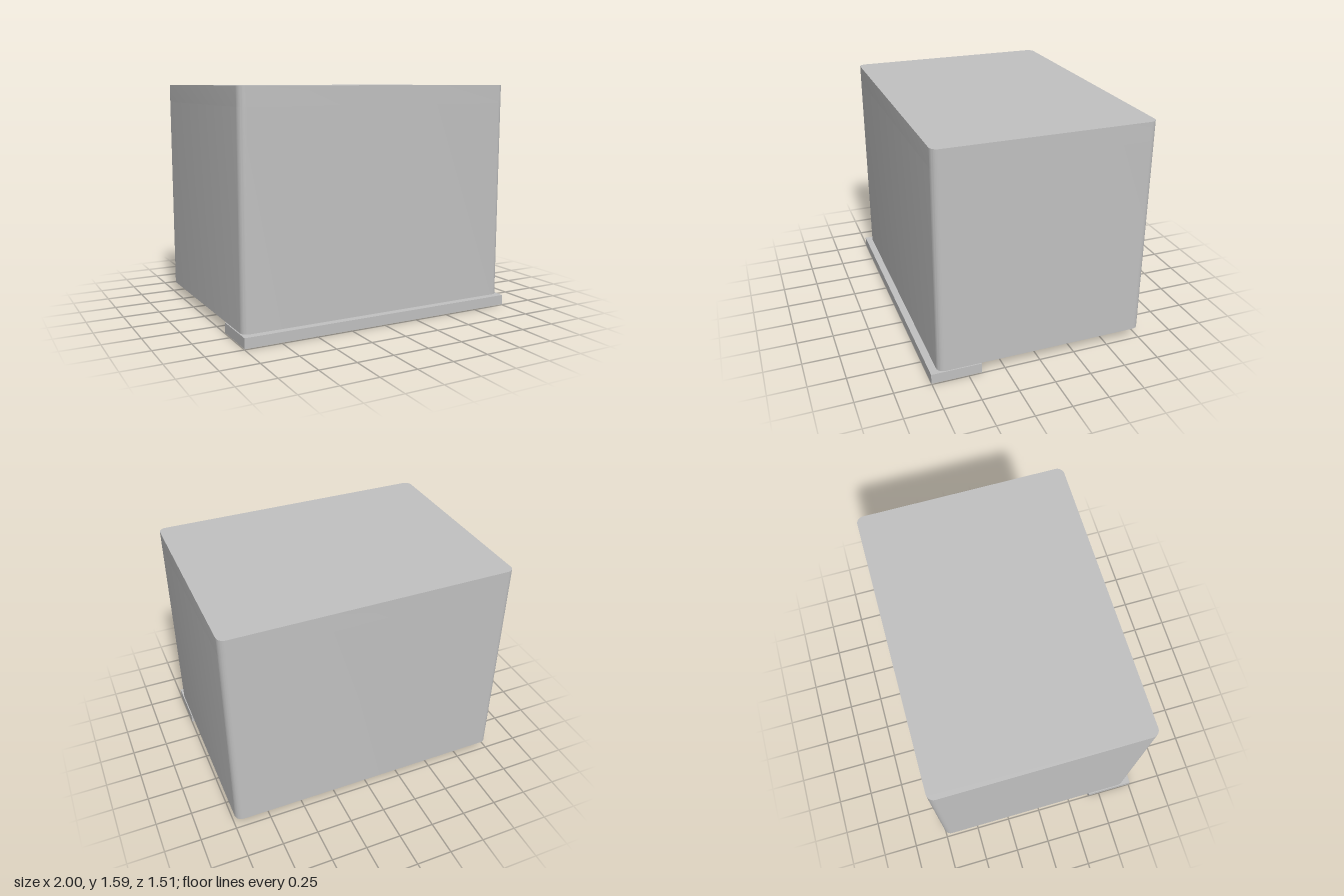
import * as THREE from 'three';
import { toCreasedNormals } from 'three/addons/utils/BufferGeometryUtils.js';

// Rounded rectangle in plan; shape y stands for -z
function roundedRect(target, x0, x1, z0, z1, r) {
  const a = -z1, b = -z0;
  target.moveTo(x0 + r, a);
  target.lineTo(x1 - r, a);
  target.absarc(x1 - r, a + r, r, -Math.PI / 2, 0, false);
  target.lineTo(x1, b - r);
  target.absarc(x1 - r, b - r, r, 0, Math.PI / 2, false);
  target.lineTo(x0 + r, b);
  target.absarc(x0 + r, b - r, r, Math.PI / 2, Math.PI, false);
  target.lineTo(x0, a + r);
  target.absarc(x0 + r, a + r, r, Math.PI, Math.PI * 1.5, false);
  return target;
}

// Extrude a plan shape upwards from y0 to y1
function extrudeUp(shape, y0, y1) {
  const geo = new THREE.ExtrudeGeometry(shape, { depth: y1 - y0, bevelEnabled: false, curveSegments: 8 });
  geo.rotateX(-Math.PI / 2).translate(0, y0, 0);
  return toCreasedNormals(geo, 0.6);
}

export function createModel() {
  const model = new THREE.Group();
  model.name = 'builtInCabinet';
  const metal = new THREE.MeshStandardMaterial({ color: 0xc0c0c0 });
  metal.name = 'light grey metal';

  function add(name, geometry, parent = model) {
    const mesh = new THREE.Mesh(geometry, metal);
    mesh.name = name;
    parent.add(mesh);
    return mesh;
  }
  const box = (w, h, d, x, y, z) => new THREE.BoxGeometry(w, h, d).translate(x, y, z);

  const bottom = 0.075, cavityEnd = 1.46, top = 1.585;
  const outline = () => roundedRect(new THREE.Shape(), -0.993, 0.993, -0.753, 0.705, 0.05);

  // Hollow casing, open underneath
  const walls = outline();
  walls.holes.push(roundedRect(new THREE.Path(), -0.95, 0.95, -0.715, 0.385, 0.035));
  add('casingWalls', extrudeUp(walls, bottom, cavityEnd));
  add('casingEnd', extrudeUp(outline(), cavityEnd, top));

  // Protruding panel along the front edge, with a thin face plate
  add('frontPanel', box(2, 0.069, 0.342, 0, 0.0395, 0.582));
  add('panelFacePlate', box(1.93, 0.005, 0.28, 0, 0.0025, 0.582));

  // Row of tabs beside the panel
  const tabs = new THREE.Group();
  tabs.name = 'tabs';
  model.add(tabs);
  for (let i = 0; i < 6; i++) {
    add('tab', box(0.22, 0.035, 0.03, (i - 2.5) * 0.25, 0.085, 0.395), tabs);
  }

  // Bent wire rails on both side walls
  const corners = [[0.96, 0.17], [0.86, 0.17], [0.86, 1.38], [0.96, 1.38]]
    .map(([x, y]) => new THREE.Vector3(x, y, 0));
  const bend = 0.045;
  const towards = (p, q) => p.clone().add(q.clone().sub(p).setLength(bend));
  const [p0, p1, p2, p3] = corners;
  const path = new THREE.CurvePath();
  path.add(new THREE.LineCurve3(p0, towards(p1, p0)));
  path.add(new THREE.QuadraticBezierCurve3(towards(p1, p0), p1, towards(p1, p2)));
  path.add(new THREE.LineCurve3(towards(p1, p2), towards(p2, p1)));
  path.add(new THREE.QuadraticBezierCurve3(towards(p2, p1), p2, towards(p2, p3)));
  path.add(new THREE.LineCurve3(towards(p2, p3), p3));
  const railGeometry = new THREE.TubeGeometry(path, 90, 0.018, 10);
  for (const side of [1, -1]) {
    const rails = new THREE.Group();
    rails.name = side > 0 ? 'leftRails' : 'rightRails';
    rails.rotation.y = side > 0 ? 0 : Math.PI;
    model.add(rails);
    for (let i = 0; i < 4; i++) {
      add('rail', railGeometry, rails).position.z = side * (-0.17 + (i - 1.5) * 0.25);
    }
  }
  return model;
}
